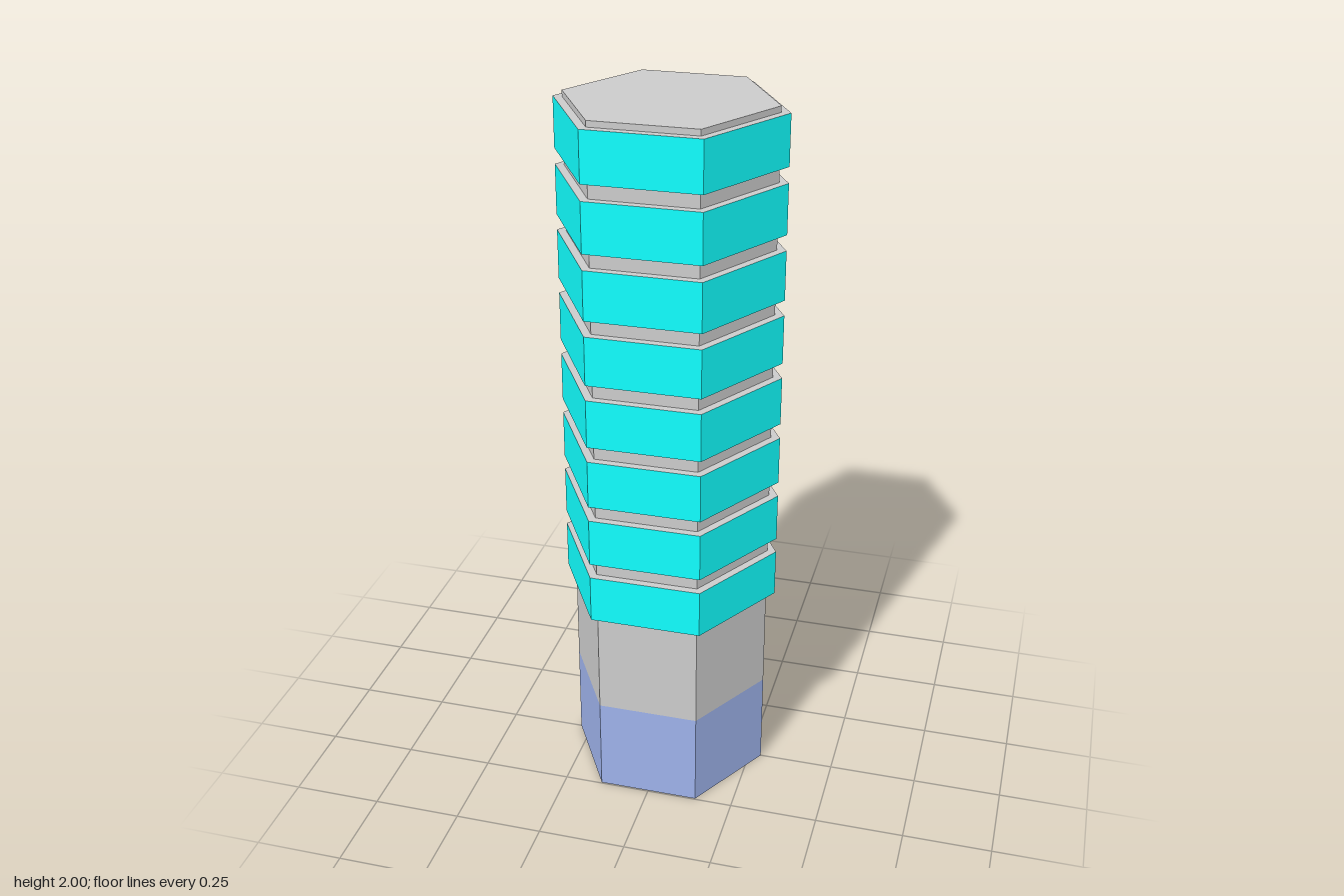
import * as THREE from 'three';

const CORE_R = 0.285, BAND_R = 0.31, BAND_H = 0.137;
const SEAM_Y = 0.28, TOP_Y = 2;
const BANDS = 8, FIRST_BAND_Y = 0.655, BAND_STEP = 0.18;

export function createModel() {
  const model = new THREE.Group();
  const material = (color) => new THREE.MeshStandardMaterial({ color, flatShading: true });
  const grey = material(0xcccccc), blue = material(0x9db2ea), cyan = material(0x11ffff);

  const add = (parent, name, geometry, mat, y) => {
    const mesh = new THREE.Mesh(geometry, mat);
    mesh.name = name;
    mesh.position.y = y;
    parent.add(mesh);
  };

  // Hexagonal side walls, with corners on the x axis
  const wall = (r, h) => new THREE.CylinderGeometry(r, r, h, 6, 1, true, Math.PI / 6);
  // Flat hexagon or hexagonal ring, facing up (1) or down (-1)
  const cap = (inner, outer, facing) => (inner
    ? new THREE.RingGeometry(inner, outer, 6)
    : new THREE.CircleGeometry(outer, 6)).rotateX(-facing * Math.PI / 2);

  // Shaft: coloured foot, plain upper length, closed ends
  add(model, 'foot', wall(CORE_R, SEAM_Y), blue, SEAM_Y / 2);
  add(model, 'shaft', wall(CORE_R, TOP_Y - SEAM_Y), grey, (TOP_Y + SEAM_Y) / 2);
  add(model, 'shaftTop', cap(0, CORE_R, 1), grey, TOP_Y);
  add(model, 'shaftBottom', cap(0, CORE_R, -1), grey, 0);

  // Evenly spaced raised bands with grey rims
  const bandWall = wall(BAND_R, BAND_H);
  const rimTop = cap(CORE_R, BAND_R, 1), rimBottom = cap(CORE_R, BAND_R, -1);
  for (let i = 0; i < BANDS; i++) {
    const band = new THREE.Group();
    band.name = `band${i + 1}`;
    band.position.y = FIRST_BAND_Y + i * BAND_STEP;
    add(band, 'bandWall', bandWall, cyan, 0);
    add(band, 'bandRimTop', rimTop, grey, BAND_H / 2);
    add(band, 'bandRimBottom', rimBottom, grey, -BAND_H / 2);
    model.add(band);
  }
  return model;
}
